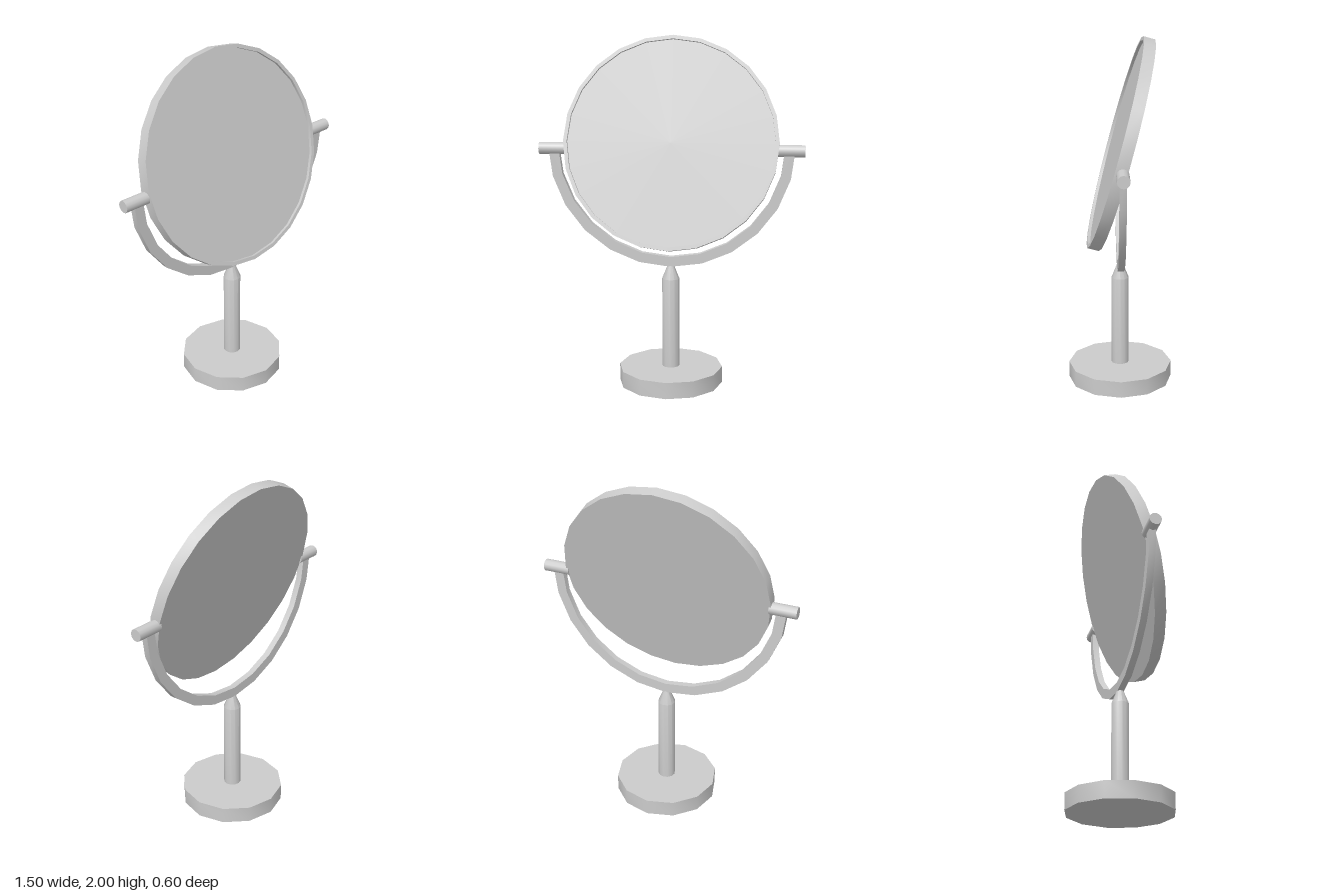
import * as THREE from 'three';
import { toCreasedNormals } from 'three/addons/utils/BufferGeometryUtils.js';

const material = new THREE.MeshStandardMaterial({ color: 0xcccccc });

function part(name, geometry, parent) {
  const mesh = new THREE.Mesh(geometry, material);
  mesh.name = name;
  parent.add(mesh);
  return mesh;
}

// Turned solid with smooth sides and sharp rims
function turned(profile, sides) {
  const points = profile.map(([r, y]) => new THREE.Vector2(r, y));
  return toCreasedNormals(new THREE.LatheGeometry(points, sides), 0.6);
}

// Half-ring band of rectangular section, hanging below its centre
function halfRing(inner, outer, depth, steps) {
  const points = [];
  const add = (r, i) => {
    const a = Math.PI + (i / steps) * Math.PI;
    points.push(new THREE.Vector2(r * Math.cos(a), r * Math.sin(a)));
  };
  for (let i = 0; i <= steps; i++) add(outer, i);
  for (let i = steps; i >= 0; i--) add(inner, i);
  const geometry = new THREE.ExtrudeGeometry(new THREE.Shape(points), { depth, bevelEnabled: false });
  geometry.translate(0, 0, -depth / 2);
  return toCreasedNormals(geometry, 0.6);
}

export function createModel() {
  const model = new THREE.Group();
  model.name = 'tableMirror';

  // Stand
  part('base', turned([[0, 0], [0.3, 0], [0.3, 0.095], [0, 0.095]], 12), model);
  part('post', turned([[0.05, 0.09], [0.05, 0.62], [0.018, 0.7], [0.018, 0.725], [0, 0.725]], 12), model);

  // Yoke and its two pivots
  part('yoke', halfRing(0.64, 0.697, 0.037, 12), model).position.y = 1.389;
  for (const side of [-1, 1]) {
    const pivot = part(side > 0 ? 'leftPivot' : 'rightPivot',
      new THREE.CylinderGeometry(0.034, 0.034, 0.155, 12), model);
    pivot.rotation.z = Math.PI / 2;
    pivot.position.set(side * 0.6725, 1.366, 0);
  }

  // Tilted mirror: dished frame with the glass set back inside its lip
  const head = new THREE.Group();
  head.name = 'mirrorHead';
  head.position.y = 1.403;
  head.rotation.x = -THREE.MathUtils.degToRad(15.3);
  model.add(head);

  const frame = part('frame', turned(
    [[0, -0.033], [0.608, -0.033], [0.608, 0.033], [0.587, 0.033], [0.587, 0.016]], 24), head);
  frame.rotation.x = Math.PI / 2;
  part('glass', new THREE.CircleGeometry(0.587, 24), head).position.z = 0.016;

  return model;
}
